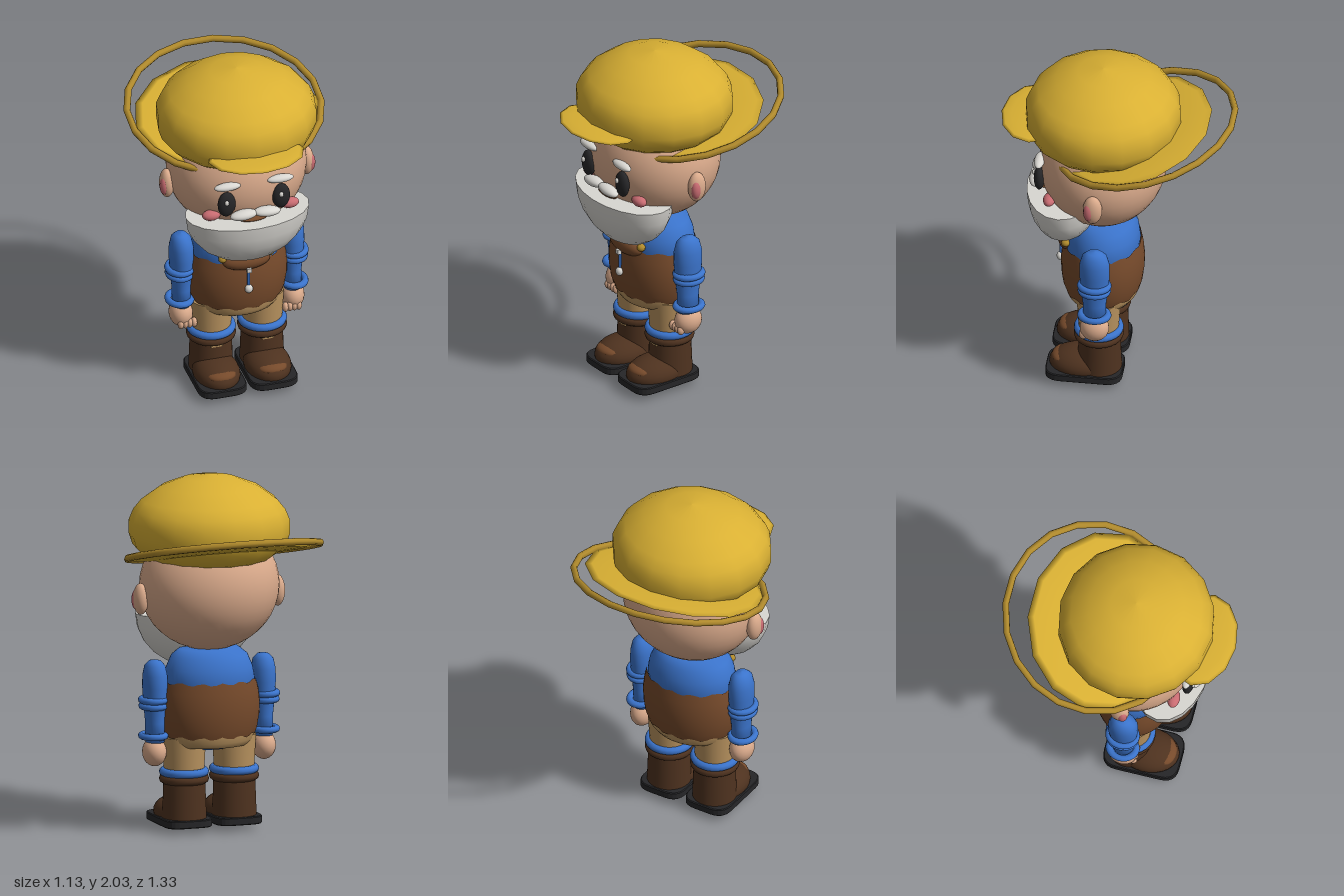
import * as THREE from 'three';

const mat = (name, color) => Object.assign(new THREE.MeshStandardMaterial({ color }), { name });
const M = {
  yellow: mat('cap yellow', 0xd9b033), gold: mat('brim gold', 0xb08a2c), skin: mat('skin', 0xdbab8c),
  brown: mat('vest brown', 0x764a2b), dark: mat('boot brown', 0x4e321f), blue: mat('shirt blue', 0x3b74cc),
  white: mat('beard white', 0xd9d7d2), black: mat('black', 0x262628), tan: mat('trouser tan', 0xb9935f),
  pink: mat('pink', 0xc96c72),
};
M.brown.side = THREE.DoubleSide;

export function createModel() {
  const root = new THREE.Group();
  root.name = 'beardedWorker';

  const add = (name, geo, m, pos = [0, 0, 0], parent = root) => {
    const mesh = new THREE.Mesh(geo, m);
    mesh.name = name;
    mesh.position.set(...pos);
    parent.add(mesh);
    return mesh;
  };
  const ball = (name, m, pos, r, parent = root, seg = 24) =>
    add(name, new THREE.SphereGeometry(1, seg, Math.max(8, seg / 2)).scale(...r), m, pos, parent);
  const lathe = (pts, seg = 32) => new THREE.LatheGeometry(pts.map(p => new THREE.Vector2(...p)), seg);
  const ring = (name, m, pos, R, tube, parent) =>
    add(name, new THREE.TorusGeometry(R, tube, 10, 28).rotateX(Math.PI / 2), m, pos, parent);

  // Head and face
  ball('head', M.skin, [0, 1.37, 0.09], [0.4, 0.37, 0.36], root, 40);
  for (const s of [1, -1]) {
    ball('ear', M.skin, [s * 0.41, 1.31, 0.095], [0.042, 0.09, 0.055]);
    ball('innerEar', M.pink, [s * 0.43, 1.305, 0.115], [0.026, 0.057, 0.03]);
    ball('eye', M.black, [s * 0.16, 1.325, 0.43], [0.052, 0.078, 0.032]);
    ball('eyeHighlight', M.white, [s * 0.16 - 0.008, 1.352, 0.463], [0.013, 0.016, 0.01], root, 12);
    ball('eyebrow', M.white, [s * 0.155, 1.44, 0.43], [0.078, 0.023, 0.03]);
    ball('cheek', M.pink, [s * 0.23, 1.226, 0.365], [0.054, 0.031, 0.035]);
    ball('moustache', M.white, [s * 0.068, 1.256, 0.46], [0.08, 0.028, 0.04]).rotation.z = s * -0.06;
  }
  ball('mouth', M.brown, [0, 1.195, 0.415], [0.08, 0.014, 0.03]);

  // Beard: lower half of a ball with a flat top
  const beard = [];
  for (let i = 0; i <= 6; i++) {
    const a = (i / 6) * Math.PI / 2;
    beard.push([0.36 * Math.sin(a), -0.315 * Math.cos(a)]);
  }
  add('beard', lathe(beard, 20).scale(1, 1, 0.61), M.white, [0, 1.185, 0.3]);
  add('beardTop', new THREE.CircleGeometry(0.36, 20).rotateX(-Math.PI / 2).scale(1, 1, 0.61), M.white, [0, 1.185, 0.3]);

  // Cap with front peak, tilted rear brim and loose brim hoop
  const dome = [[0, 1.52], [0.34, 1.52], [0.39, 1.555], [0.435, 1.6], [0.455, 1.66], [0.455, 1.74],
    [0.43, 1.8], [0.385, 1.855], [0.28, 1.93], [0.15, 1.98], [0, 2]];
  add('capDome', lathe(dome, 16).scale(1, 1, 0.967), M.yellow, [0, 0, 0.09]);
  ball('capPeak', M.yellow, [0, 1.65, 0.475], [0.28, 0.02, 0.192], root, 12);
  const brim = ball('rearBrim', M.yellow, [0, 1.58, -0.085], [0.535, 0.024, 0.45], root, 14);
  brim.rotation.x = 0.245;
  const hoop = add('brimHoop', new THREE.TorusGeometry(0.553, 0.02, 8, 20).rotateZ(Math.PI / 20)
    .rotateX(Math.PI / 2).scale(1, 1, 0.945), M.gold, [0, 1.6, -0.145]);
  hoop.rotation.x = 0.245;

  // Torso: blue shirt, tan hem and wavy-edged vest
  const torso = (name, pts, m) => add(name, lathe(pts, 48).scale(1, 1, 0.81), m, [0, 0, 0.092]);
  torso('shirt', [[0.24, 0.7], [0.262, 0.83], [0.25, 0.9], [0.22, 0.97], [0.17, 1.01], [0, 1.03]], M.blue);
  torso('trouserSeat', [[0, 0.435], [0.12, 0.44], [0.2, 0.47]], M.blue);
  torso('hem', [[0.18, 0.455], [0.225, 0.46], [0.25, 0.49], [0.262, 0.55], [0.25, 0.6]], M.tan);
  const vest = torso('vest', [[0.262, 0.52], [0.277, 0.56], [0.288, 0.63], [0.29, 0.7], [0.282, 0.77], [0.267, 0.83]], M.brown);
  const p = vest.geometry.attributes.position;
  for (let i = 0; i < p.count; i++) {
    if (p.getY(i) > 0.53 && p.getY(i) < 0.82) continue;
    const a = Math.atan2(p.getX(i), p.getZ(i));
    p.setY(i, p.getY(i) + 0.008 * Math.cos(a * 12));
  }
  vest.geometry.computeBoundingSphere();

  // Neckerchief, pins and cord
  ball('neckerchief', M.brown, [0, 0.838, 0.285], [0.14, 0.058, 0.06]);
  for (const s of [1, -1]) ball('pin', M.gold, [s * 0.14, 0.866, 0.285], [0.024, 0.022, 0.025], root, 12);
  add('cordClasp', new THREE.BoxGeometry(0.026, 0.026, 0.025), M.white, [0, 0.8, 0.34]);
  add('cord', new THREE.CylinderGeometry(0.008, 0.008, 0.1, 10), M.blue, [0, 0.74, 0.33]);
  ball('cordBead', M.white, [0, 0.672, 0.335], [0.024, 0.026, 0.02], root, 16);

  // Rounded sole outline
  const sole = new THREE.Shape();
  const w = 0.14, l = 0.218, c = 0.09;
  sole.moveTo(-w + c, -l).lineTo(w - c, -l).quadraticCurveTo(w, -l, w, -l + c).lineTo(w, l - c)
    .quadraticCurveTo(w, l, w - c, l).lineTo(-w + c, l).quadraticCurveTo(-w, l, -w, l - c)
    .lineTo(-w, -l + c).quadraticCurveTo(-w, -l, -w + c, -l);

  for (const s of [1, -1]) {
    // Arm with rolled cuffs and hand
    const arm = new THREE.Group();
    arm.name = s > 0 ? 'leftArm' : 'rightArm';
    arm.position.z = 0.095;
    root.add(arm);
    const sleeve = add('sleeve', lathe([[0, 0.49], [0.055, 0.49], [0.056, 0.6], [0.066, 0.7], [0.073, 0.8],
      [0.072, 0.87], [0.06, 0.925], [0.035, 0.952], [0, 0.96]], 24).scale(0.95, 1, 1.18), M.blue, [s * 0.325, 0, 0], arm);
    sleeve.name = 'sleeve';
    for (const [y, R] of [[0.73, 0.066], [0.695, 0.063], [0.525, 0.065]])
      ring('sleeveRoll', M.blue, [s * 0.335, y, 0], R, 0.019, arm).scale.z = 1.15;
    ball('hand', M.skin, [s * 0.328, 0.432, 0], [0.067, 0.082, 0.083], arm);
    for (let i = 0; i < 4; i++)
      ball('finger', M.skin, [s * (0.268 + i * 0.026), 0.39, 0.062], [0.018, 0.03, 0.024], arm, 12);

    // Leg with cuffs and boot
    const leg = new THREE.Group();
    leg.name = s > 0 ? 'leftLeg' : 'rightLeg';
    leg.position.x = s * 0.15;
    root.add(leg);
    add('trouserLeg', new THREE.CylinderGeometry(0.125, 0.112, 0.22, 28), M.tan, [0, 0.4, 0.095], leg);
    ring('sockRoll', M.blue, [0, 0.31, 0.095], 0.117, 0.024, leg);
    ring('bootCuff', M.dark, [0, 0.27, 0.095], 0.116, 0.025, leg);
    add('bootShaft', new THREE.CylinderGeometry(0.118, 0.126, 0.22, 28), M.dark, [0, 0.155, 0.09], leg);
    ball('bootToe', M.dark, [0, 0.065, 0.195], [0.132, 0.095, 0.18], leg, 28);
    ball('toeCap', M.brown, [0, 0.1, 0.295], [0.085, 0.034, 0.065], leg);
    add('bootTab', new THREE.BoxGeometry(0.07, 0.012, 0.008), M.tan, [0, 0.24, 0.209], leg);
    add('sole', new THREE.ExtrudeGeometry(sole, { depth: 0.035, bevelSize: 0.005, bevelThickness: 0.005, bevelOffset: -0.005,
      bevelSegments: 1, curveSegments: 6 }).rotateX(-Math.PI / 2), M.black, [0, 0.009, 0.172], leg);
    add('soleTread', new THREE.CylinderGeometry(0.08, 0.08, 0.006, 16).scale(1, 1, 1.25), M.dark, [0, 0.003, 0.2], leg);
  }
  return root;
}
